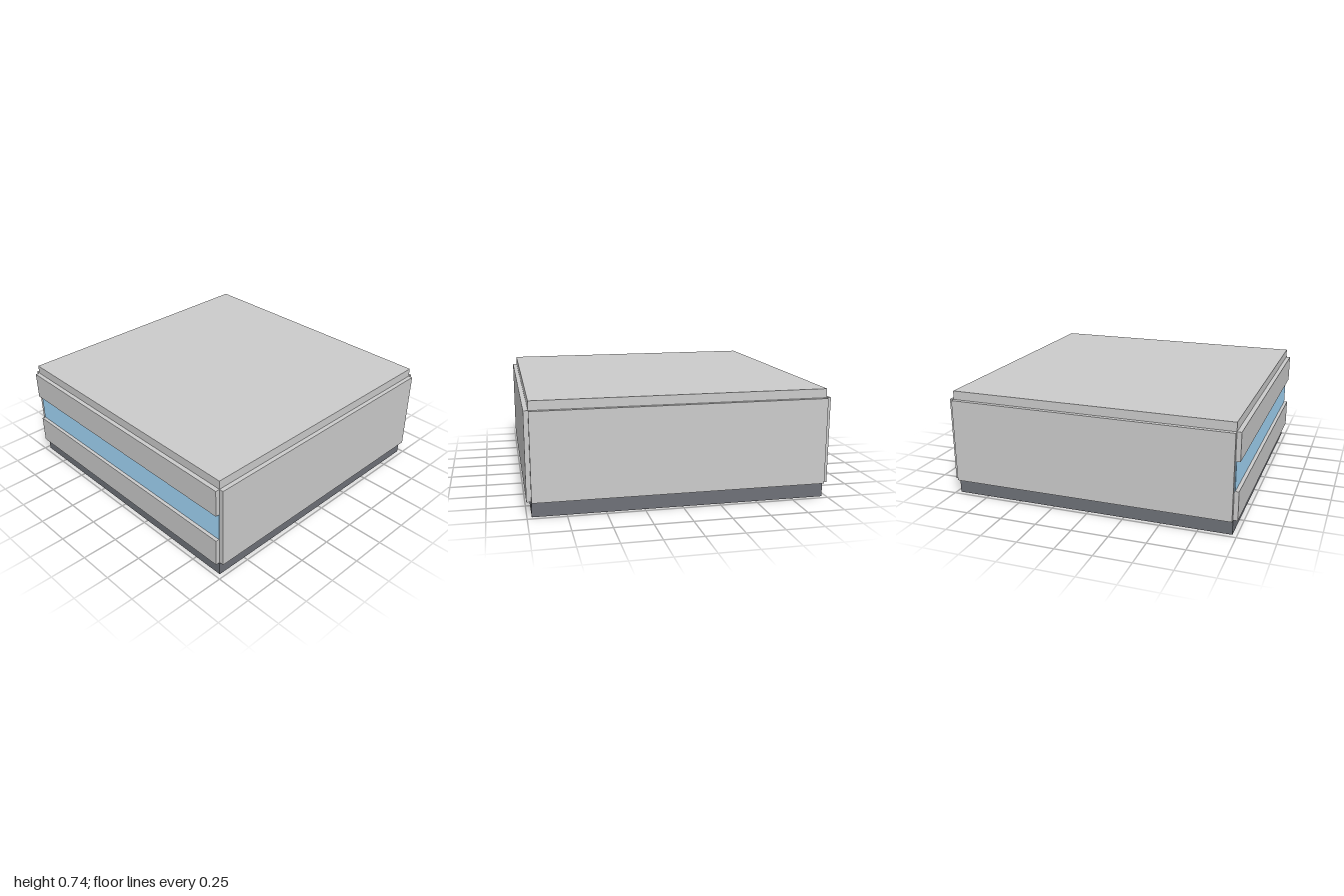
import * as THREE from 'three';

export function createModel() {
  const model = new THREE.Group();
  model.name = 'buildingFloor';

  const grey = new THREE.MeshStandardMaterial({ color: 0xcccccc });
  const dark = new THREE.MeshStandardMaterial({ color: 0x6e7178 });
  const glass = new THREE.MeshStandardMaterial({ color: 0xa4d8fa });

  const HALF = 0.97; // half width of the core
  const SKIN = 0.03; // cladding thickness

  // Box spanning y0..y1, centred on x and z unless shifted along x
  function block(name, material, width, depth, y0, y1, x = 0) {
    const mesh = new THREE.Mesh(new THREE.BoxGeometry(width, y1 - y0, depth), material);
    mesh.name = name;
    mesh.position.set(x, (y0 + y1) / 2, 0);
    return mesh;
  }

  // Recessed plinth and main core with its raised roof
  model.add(block('plinth', dark, HALF * 2, HALF * 2, 0, 0.1));
  model.add(block('core', grey, HALF * 2, HALF * 2, 0.1, 0.74));

  // Cladding on each side, turned about y from the +x face
  const sides = [
    { name: 'leftPanel', angle: 0, bands: [[0.1, 0.68]] },
    { name: 'backPanel', angle: Math.PI / 2, bands: [[0.1, 0.68]] },
    { name: 'rightPanel', angle: Math.PI, bands: [[0.1, 0.295], [0.49, 0.68]] },
    { name: 'frontPanel', angle: -Math.PI / 2, bands: [[0.1, 0.68]] },
  ];
  for (const { name, angle, bands } of sides) {
    const side = new THREE.Group();
    side.name = name;
    side.rotation.y = angle;
    for (const [y0, y1] of bands) {
      side.add(block('cladding', grey, SKIN, HALF * 2, y0, y1, HALF + SKIN / 2));
    }
    // Ribbon window between the two split bands
    if (bands.length > 1) {
      side.add(block('ribbonWindow', glass, 0.006, HALF * 2, bands[0][1], bands[1][0], HALF + 0.003));
    }
    model.add(side);
  }

  return model;
}
